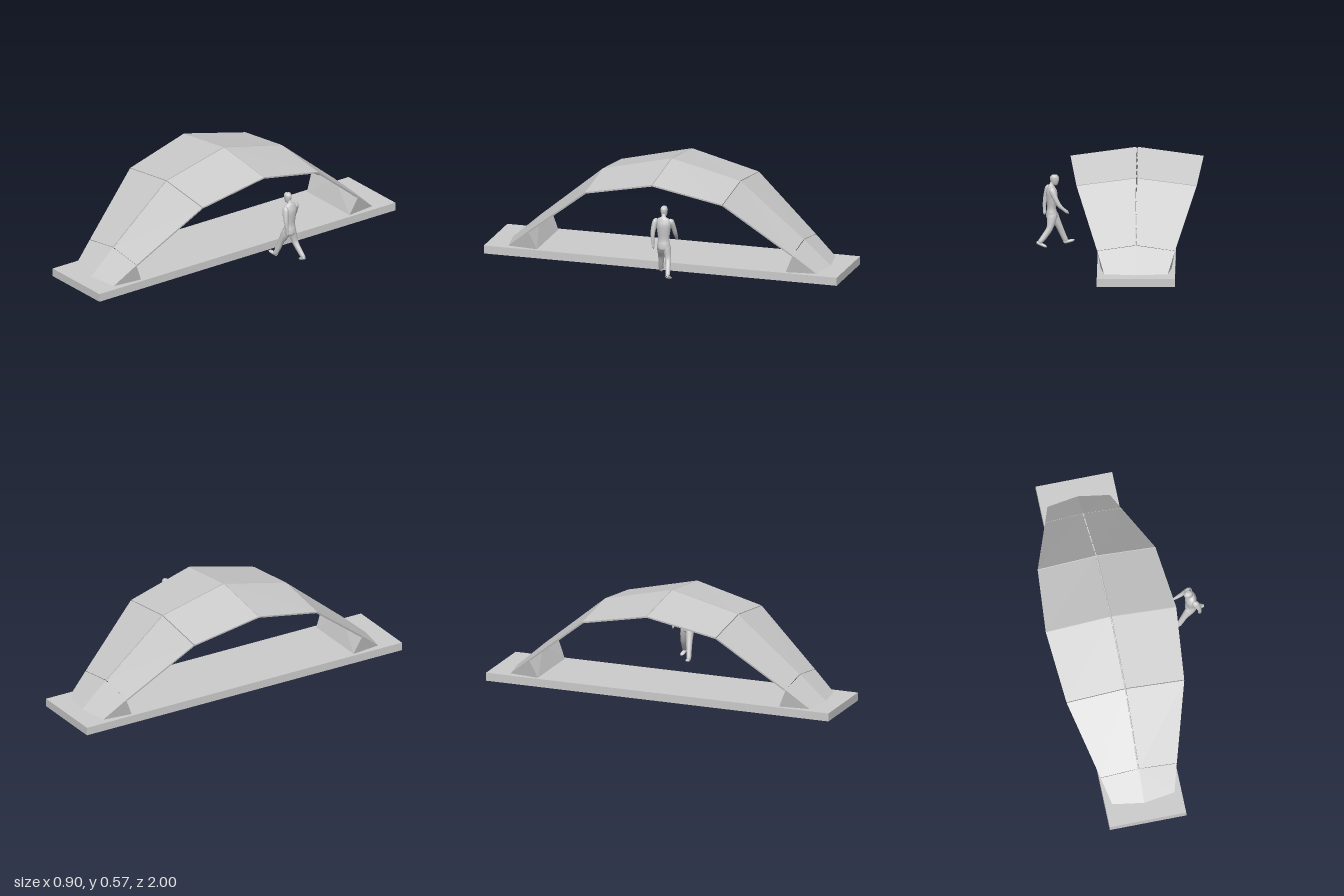
import * as THREE from 'three';
import { ConvexGeometry } from 'three/addons/geometries/ConvexGeometry.js';

const V = (x, y, z) => new THREE.Vector3(x, y, z);
const flat = new THREE.MeshStandardMaterial({ color: 0xcccccc, flatShading: true });
const smooth = new THREE.MeshStandardMaterial({ color: 0xcccccc });
const AXIS = -0.093; // x of the shelter's ridge

// arch cross-sections: [z, ridge height, eave height, half width]
const SECTIONS = [
  [0, 0.57, 0.521, 0.36],
  [0.39, 0.477, 0.435, 0.325],
  [0.75, 0.178, 0.148, 0.21],
];

function add(parent, name, geometry, material = flat) {
  const mesh = new THREE.Mesh(geometry, material);
  mesh.name = name;
  parent.add(mesh);
  return mesh;
}

function box(parent, name, w, h, d, x, y, z) {
  const mesh = add(parent, name, new THREE.BoxGeometry(w, h, d));
  mesh.position.set(x, y, z);
  return mesh;
}

// one thin roof plate between two sections, on one side of the ridge
function panelGeometry(a, b, side, end) {
  const gap = 0.0018, thick = 0.009;
  const point = (outer, far) => {
    const t = far ? 1 - gap / 0.39 : gap / 0.39;
    const [z, ridge, eave, half] = a.map((v, i) => THREE.MathUtils.lerp(v, b[i], t));
    return outer ? V(side * half, eave, end * z) : V(side * 0.004, ridge, end * z);
  };
  const across = point(true, false).sub(point(false, false));
  const along = point(false, true).sub(point(false, false));
  const normal = across.cross(along).normalize();
  if (normal.y < 0) normal.negate();

  let geo = new THREE.BoxGeometry(1, 1, 1);
  const pos = geo.attributes.position;
  for (let i = 0; i < pos.count; i++) {
    const p = point(pos.getX(i) * side > 0, pos.getZ(i) * end > 0);
    if (pos.getY(i) < 0) p.addScaledVector(normal, -thick);
    pos.setXYZ(i, p.x, p.y, p.z);
  }
  geo = geo.toNonIndexed();
  geo.computeVertexNormals();
  return geo;
}

// smooth body part through rows of [x, y, z, radius in profile, radius in z]
function loft(rows, steps = 28, sides = 16) {
  const path = new THREE.CatmullRomCurve3(rows.map(r => V(r[0], r[1], r[2])), false, 'catmullrom', 0.5);
  const radii = new THREE.CatmullRomCurve3(rows.map(r => V(r[3], r[4], 0)), false, 'catmullrom', 0.4);
  const verts = [], index = [];
  for (let i = 0; i <= steps; i++) {
    const t = i / steps, c = path.getPoint(t), r = radii.getPoint(t);
    const tangent = path.getTangent(t);
    const n = V(0, 0, 1).cross(tangent).normalize();
    const s = tangent.clone().cross(n).normalize();
    for (let j = 0; j < sides; j++) {
      const a = j / sides * Math.PI * 2;
      const p = c.clone().addScaledVector(n, Math.cos(a) * Math.max(r.x, 0.0005))
        .addScaledVector(s, Math.sin(a) * Math.max(r.y, 0.0005));
      verts.push(p.x, p.y, p.z);
      if (i < steps) {
        const k = i * sides + j, l = i * sides + (j + 1) % sides;
        index.push(k, l, k + sides, l, l + sides, k + sides);
      }
    }
  }
  const geo = new THREE.BufferGeometry();
  geo.setAttribute('position', new THREE.Float32BufferAttribute(verts, 3));
  geo.setIndex(index);
  geo.computeVertexNormals();
  return geo;
}

function createBase() {
  const g = new THREE.Group();
  g.name = 'base';
  // hollow tray, open underneath
  box(g, 'deck', 0.422, 0.008, 2, 0, 0.041, 0);
  for (const s of [-1, 1]) {
    box(g, 'sideWall', 0.006, 0.037, 2, s * 0.208, 0.0185, 0);
    box(g, 'endWall', 0.41, 0.037, 0.006, 0, 0.0185, s * 0.997);
    box(g, 'footPad', 0.36, 0.012, 0.28, 0, 0.031, s * 0.78);
  }
  for (const x of [-0.12, 0, 0.12]) box(g, 'floorPlank', 0.1, 0.008, 1.28, x, 0.033, 0);
  return g;
}

function createCanopy() {
  const g = new THREE.Group();
  g.name = 'canopy';
  for (const end of [-1, 1]) {
    // solid wedge where the arch meets the base
    const pts = [V(0, 0.178, end * 0.75), V(0, 0.045, end * 0.9)];
    for (const s of [-1, 1]) {
      pts.push(V(s * 0.21, 0.148, end * 0.75), V(s * 0.172, 0.045, end * 0.873),
        V(s * 0.192, 0.045, end * 0.705));
    }
    add(g, 'foot', new ConvexGeometry(pts));

    for (let i = 0; i < 2; i++) {
      const a = SECTIONS[i], b = SECTIONS[i + 1];
      for (const side of [-1, 1]) add(g, 'roofPanel', panelGeometry(a, b, side, end));
      // clips bridging the ridge gap
      for (let k = 0; k < 5; k++) {
        const t = (k + 0.5) / 5;
        const clip = box(g, 'ridgeClip', 0.014, 0.005, 0.02, 0,
          THREE.MathUtils.lerp(a[1], b[1], t) - 0.008, end * THREE.MathUtils.lerp(a[0], b[0], t));
        clip.rotation.x = end * Math.atan2(a[1] - b[1], b[0] - a[0]);
      }
    }
  }
  return g;
}

function createPerson() {
  const g = new THREE.Group();
  g.name = 'walkingPerson';
  const part = (name, rows) => add(g, name, loft(rows), smooth);
  part('torso', [
    [0.366, 0.185, -0.098, 0.004, 0.006], [0.367, 0.2, -0.098, 0.03, 0.034],
    [0.368, 0.225, -0.098, 0.03, 0.036], [0.368, 0.255, -0.098, 0.024, 0.031],
    [0.366, 0.3, -0.098, 0.03, 0.037], [0.368, 0.34, -0.098, 0.03, 0.043],
    [0.37, 0.367, -0.098, 0.02, 0.035], [0.368, 0.38, -0.098, 0.013, 0.013],
    [0.362, 0.395, -0.097, 0.012, 0.012],
  ]);
  part('head', [
    [0.352, 0.375, -0.096, 0.003, 0.003], [0.351, 0.383, -0.096, 0.016, 0.013],
    [0.352, 0.402, -0.096, 0.023, 0.018], [0.353, 0.42, -0.096, 0.024, 0.019],
    [0.353, 0.433, -0.096, 0.016, 0.014], [0.353, 0.437, -0.096, 0.001, 0.001],
  ]);
  // left limbs: arm back, leg forward
  part('leftArm', [
    [0.378, 0.372, -0.063, 0.004, 0.004], [0.385, 0.355, -0.056, 0.019, 0.015],
    [0.4, 0.305, -0.048, 0.014, 0.013], [0.407, 0.265, -0.048, 0.01, 0.01],
    [0.407, 0.235, -0.05, 0.009, 0.007], [0.407, 0.217, -0.052, 0.009, 0.006],
    [0.405, 0.205, -0.053, 0.001, 0.001],
  ]);
  part('leftLeg', [
    [0.366, 0.235, -0.083, 0.02, 0.015], [0.358, 0.205, -0.08, 0.028, 0.021],
    [0.328, 0.148, -0.072, 0.018, 0.017], [0.308, 0.1, -0.065, 0.016, 0.014],
    [0.293, 0.066, -0.06, 0.014, 0.012], [0.29, 0.057, -0.06, 0.006, 0.006],
  ]);
  part('leftShoe', [
    [0.304, 0.055, -0.062, 0.002, 0.002], [0.299, 0.057, -0.062, 0.009, 0.009],
    [0.275, 0.061, -0.058, 0.009, 0.011], [0.255, 0.065, -0.053, 0.007, 0.011],
    [0.244, 0.067, -0.05, 0.001, 0.002],
  ]);
  // right limbs: arm forward, leg back
  part('rightArm', [
    [0.37, 0.372, -0.133, 0.004, 0.004], [0.365, 0.355, -0.14, 0.018, 0.015],
    [0.348, 0.315, -0.149, 0.014, 0.013], [0.328, 0.278, -0.152, 0.012, 0.011],
    [0.303, 0.254, -0.15, 0.009, 0.009], [0.286, 0.24, -0.148, 0.009, 0.006],
    [0.274, 0.23, -0.146, 0.001, 0.001],
  ]);
  part('rightLeg', [
    [0.367, 0.235, -0.113, 0.02, 0.015], [0.367, 0.205, -0.116, 0.027, 0.021],
    [0.378, 0.148, -0.126, 0.018, 0.017], [0.405, 0.105, -0.134, 0.016, 0.014],
    [0.43, 0.074, -0.14, 0.013, 0.012], [0.436, 0.066, -0.14, 0.005, 0.005],
  ]);
  part('rightShoe', [
    [0.45, 0.071, -0.14, 0.002, 0.002], [0.444, 0.069, -0.14, 0.009, 0.009],
    [0.423, 0.059, -0.141, 0.009, 0.011], [0.403, 0.05, -0.145, 0.007, 0.011],
    [0.392, 0.045, -0.147, 0.001, 0.002],
  ]);
  return g;
}

export function createModel() {
  const model = new THREE.Group();
  model.name = 'archedShelter';
  const shelter = new THREE.Group();
  shelter.name = 'shelter';
  shelter.position.x = AXIS;
  shelter.add(createBase(), createCanopy());
  model.add(shelter, createPerson());
  return model;
}
